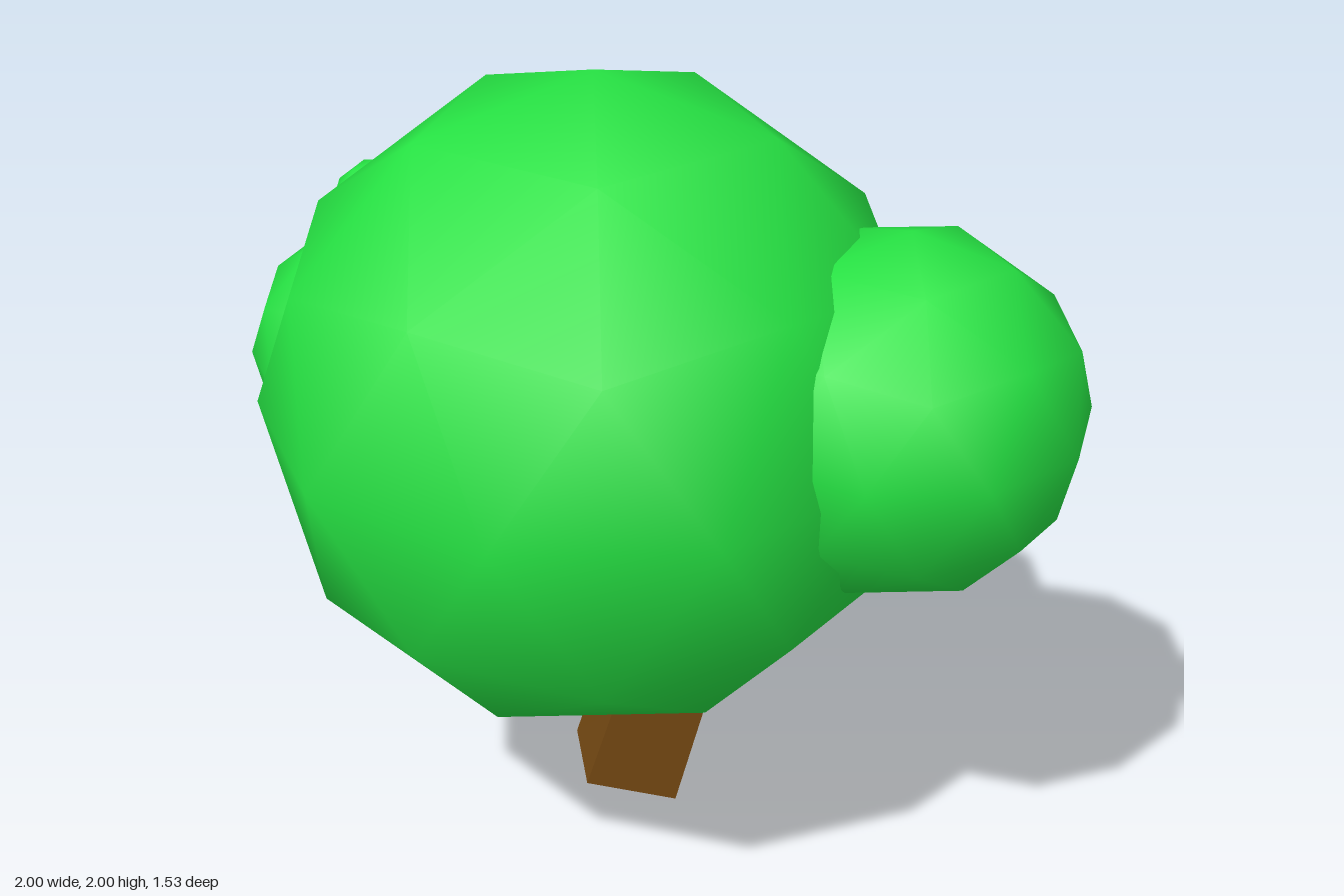
import * as THREE from 'three';

const leafGreen = new THREE.MeshStandardMaterial({ color: 0x26e243 });
const barkBrown = new THREE.MeshStandardMaterial({ color: 0x744812 });
leafGreen.name = 'leafGreen';
barkBrown.name = 'barkBrown';

// Smooth 80-sided ball with one corner pointing straight up
function foliage(name, radius, x, y, z) {
  const geometry = new THREE.IcosahedronGeometry(radius, 1);
  geometry.rotateZ(-Math.atan(2 / (1 + Math.sqrt(5))));
  const mesh = new THREE.Mesh(geometry, leafGreen);
  mesh.name = name;
  mesh.position.set(x, y, z);
  return mesh;
}

// Bent four-sided trunk; each ring lists its front, right, back and left corners
function trunk() {
  const rings = [
    [[-0.17, 0.07, -0.12], [0.04, 0, -0.21], [-0.05, 0, -0.43], [-0.265, 0.07, -0.34]],
    [[-0.11, 0.28, -0.15], [0.11, 0.29, -0.245], [0.01, 0.28, -0.465], [-0.21, 0.27, -0.365]],
    [[-0.24, 0.68, -0.23], [-0.115, 0.68, -0.25], [-0.19, 0.68, -0.35], [-0.315, 0.68, -0.33]],
  ];
  const index = [0, 3, 2, 0, 2, 1, 8, 9, 10, 8, 10, 11];
  for (let r = 0; r < 2; r++) {
    for (let i = 0; i < 4; i++) {
      const a = r * 4 + i;
      const b = r * 4 + (i + 1) % 4;
      index.push(a, b, b + 4, a, b + 4, a + 4);
    }
  }
  const indexed = new THREE.BufferGeometry();
  indexed.setAttribute('position', new THREE.Float32BufferAttribute(rings.flat(2), 3));
  indexed.setIndex(index);
  const geometry = indexed.toNonIndexed();
  geometry.computeVertexNormals();
  const mesh = new THREE.Mesh(geometry, barkBrown);
  mesh.name = 'trunk';
  return mesh;
}

export function createModel() {
  const tree = new THREE.Group();
  tree.name = 'tree';
  tree.add(
    trunk(),
    foliage('mainFoliage', 0.763, -0.1, 1.237, 0),
    foliage('leftFoliage', 0.415, 0.6, 1.31, 0.03),
    foliage('rightFoliage', 0.35, -0.67, 1.18, -0.225),
    foliage('smallFoliage', 0.115, -0.69, 1.55, -0.215),
  );
  return tree;
}
